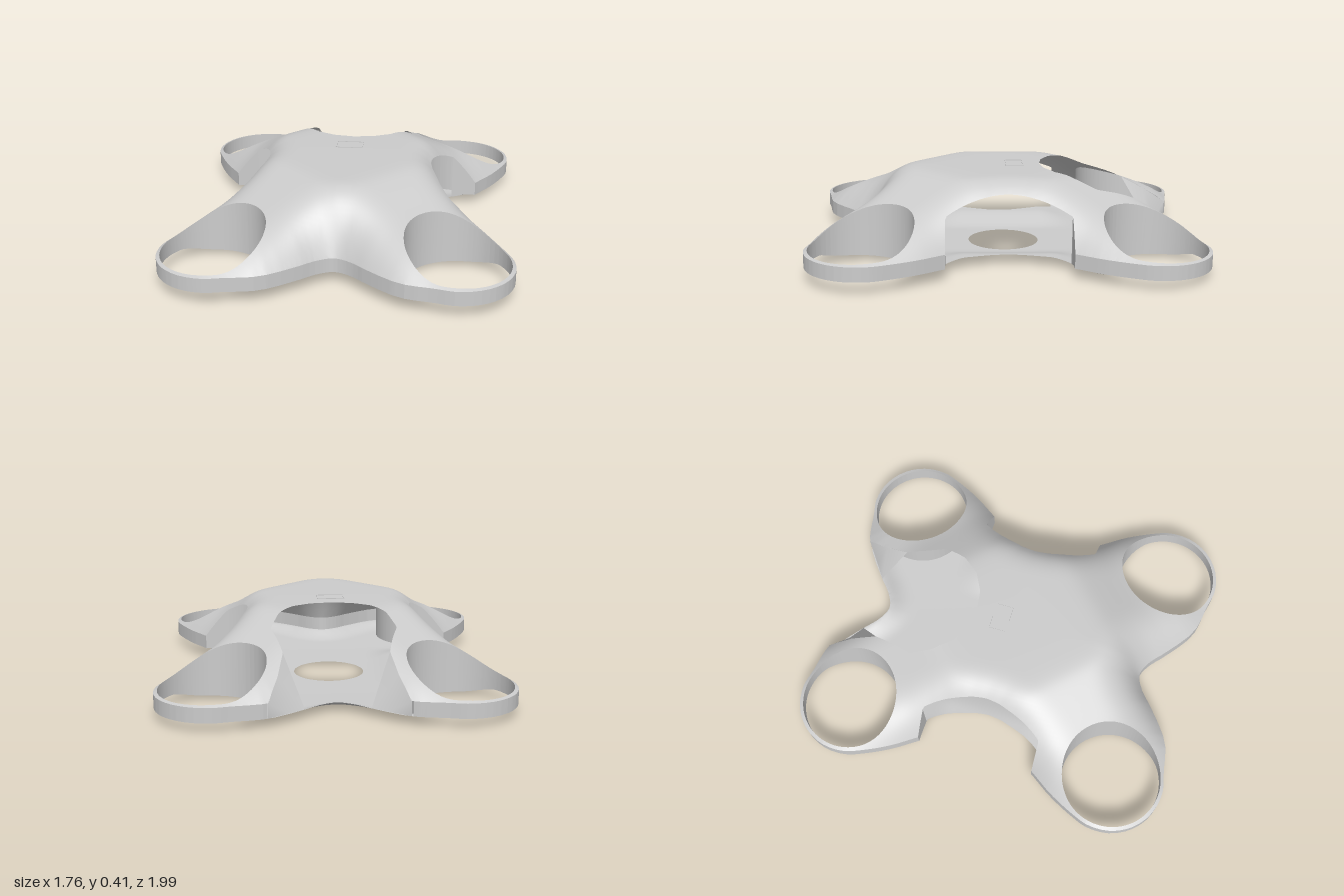
import * as THREE from 'three';
import { mergeVertices } from 'three/addons/utils/BufferGeometryUtils.js';

const RING = { x: 0.566, z: 0.69, inner: 0.248, outer: 0.266 };

// Mirror a half outline across one axis
const mirror = (pts, sx, sz, closeEnd) =>
  pts.concat(pts.slice(closeEnd ? 1 : 0, -1).reverse().map(([x, z]) => [x * sx, z * sz]));

// Quarter outline: flank, ring tip, front notch
function bodyOutline() {
  const q = [[0.53, 0], [0.565, 0.15], [0.65, 0.30], [0.73, 0.42], [0.795, 0.55]];
  for (const deg of [-10, 15, 40, 65, 90, 112]) {
    const a = deg * Math.PI / 180;
    q.push([RING.x + RING.outer * Math.cos(a), RING.z + RING.outer * Math.sin(a)]);
  }
  q.push([0.315, 0.905], [0.155, 0.79], [0.08, 0.725], [0, 0.69]);
  const full = mirror(mirror(q, -1, 1, false), 1, -1, true);
  const curve = new THREE.CatmullRomCurve3(full.map(([x, z]) => new THREE.Vector3(x, 0, z)), true);
  return curve.getPoints(160).slice(0, -1).map(p => [p.x, p.z]);
}

// Signed distance to a polygon, positive inside
function polygonDistance(poly, x, z) {
  let best = Infinity, inside = false;
  for (let i = 0, j = poly.length - 1; i < poly.length; j = i++) {
    const [ax, az] = poly[i], [bx, bz] = poly[j];
    const ex = bx - ax, ez = bz - az, px = x - ax, pz = z - az;
    const t = Math.min(1, Math.max(0, (px * ex + pz * ez) / (ex * ex + ez * ez)));
    best = Math.min(best, (px - ex * t) ** 2 + (pz - ez * t) ** 2);
    if ((az > z) !== (bz > z) && x < ex * (z - az) / ez + ax) inside = !inside;
  }
  return Math.sqrt(best) * (inside ? 1 : -1);
}

const OUTLINE = bodyOutline();
const REAR_CUT = mirror([[0, -1.3], [0.315, -1.3], [0.315, -0.91], [0.27, -0.78], [0.245, -0.65],
  [0.27, -0.54], [0.30, -0.44], [0.26, -0.33], [0.19, -0.243], [0.1, -0.195], [0, -0.18]], -1, 1, true);

const edge = (x, z) => polygonDistance(OUTLINE, x, z);

// Smooth version of max(0, t)
const ramp = t => (t + Math.sqrt(t * t + 0.006)) / 2;

// Upper skin: a flat crown, steep shoulders, gently sloping rotor rings, rounded rim
function topY(x, z) {
  const rim = 0.125, d = Math.max(0, edge(x, z)), s = Math.abs(x) + Math.abs(z);
  const cap = 0.411 - 0.36 * ramp(s - 0.56) + 0.17 * ramp(s - 0.92);
  const round = 1 - (1 - Math.min(1, d / 0.3)) ** 3.3;
  return rim + (Math.max(cap, rim + 0.01) - rim) * round;
}

// Shallow dished underside, turned up at the rim and along the flanks
function bottomY(x, z) {
  const d = Math.max(0, edge(x, z)), smooth = THREE.MathUtils.smoothstep;
  const flank = 0.043 * smooth(Math.abs(x), 0.2, 0.42) * (1 - smooth(Math.abs(z), 0.2, 0.42));
  const lip = 0.045 * (1 - Math.min(1, d / 0.12)) ** 2;
  return Math.min(0.055, 0.003 + 0.03 * (x * x + z * z) + flank + lip);
}

// Fields are positive where material is kept
const rings = (x, z) => Math.hypot(Math.abs(x) - RING.x, Math.abs(z) - RING.z) - RING.inner;
const sideTunnel = (x, z) => Math.abs(z) > 0.36 || Math.abs(x) < 0.2 ? 0.06
  : Math.max(topY(x, z) - (0.35 - 0.9 * z * z), Math.abs(z) - 0.3);
const rearCut = (x, z) => -polygonDistance(REAR_CUT, x, z);
const bellyHole = (x, z) => Math.hypot(x, z) - 0.18;

// Cut a polygon by a field, finding each crossing by bisection
function clip(poly, field) {
  const values = poly.map(p => field(...p)), out = [];
  poly.forEach((p, i) => {
    const k = (i + 1) % poly.length, q = poly[k];
    if (values[i] >= 0) out.push(p);
    if ((values[i] >= 0) !== (values[k] >= 0)) {
      let [a, b] = values[i] >= 0 ? [p, q] : [q, p];
      for (let n = 0; n < 22; n++) {
        const m = [(a[0] + b[0]) / 2, (a[1] + b[1]) / 2];
        if (field(...m) >= 0) a = m; else b = m;
      }
      out.push(a);
    }
  });
  return out;
}

// Triangulated grid trimmed by the fields
function trimmedPolygons(fields) {
  const step = 0.02, result = [];
  for (let x = -0.9037; x < 0.9; x += step) {
    for (let z = -1.0071; z < 1; z += step) {
      const a = [x, z], b = [x, z + step], c = [x + step, z + step], d = [x + step, z];
      if (edge(x, z) < -0.06) continue;
      for (let poly of [[a, b, c], [a, c, d]]) {
        for (const f of fields) if (poly.length > 2) poly = clip(poly, f);
        if (poly.length > 2) result.push(poly);
      }
    }
  }
  return result;
}

function smoothGeometry(positions) {
  let g = new THREE.BufferGeometry();
  g.setAttribute('position', new THREE.Float32BufferAttribute(positions, 3));
  g = mergeVertices(g, 1e-4);
  g.computeVertexNormals();
  return g;
}

function skin(polys, height, down) {
  const pos = [];
  for (const poly of polys) {
    const v = poly.map(([x, z]) => [x, height(x, z), z]);
    for (let i = 1; i + 1 < v.length; i++) {
      pos.push(...v[0], ...v[down ? i + 1 : i], ...v[down ? i : i + 1]);
    }
  }
  return smoothGeometry(pos);
}

// Upright walls along the trimmed edges of one field
function walls(polys, field, allowed) {
  const pos = [];
  const onEdge = p => Math.abs(field(...p)) < 2e-5 && allowed(...p);
  for (const poly of polys) {
    const flags = poly.map(onEdge);
    poly.forEach(([x, z], i) => {
      const k = (i + 1) % poly.length, [u, w] = poly[k];
      if (!flags[i] || !flags[k]) return;
      const a = [x, bottomY(x, z), z], b = [u, bottomY(u, w), w];
      const c = [u, topY(u, w), w], d = [x, topY(x, z), z];
      pos.push(...a, ...b, ...c, ...a, ...c, ...d);
    });
  }
  return smoothGeometry(pos);
}

export function createModel() {
  const grey = new THREE.MeshStandardMaterial({ color: 0xcccccc, side: THREE.DoubleSide });
  grey.name = 'light grey';
  const model = new THREE.Group();
  model.name = 'quadcopterShell';
  const add = (name, geometry) => {
    const mesh = new THREE.Mesh(geometry, grey);
    mesh.name = name;
    model.add(mesh);
    return mesh;
  };

  // Skins
  const upper = trimmedPolygons([edge, rings, sideTunnel, rearCut]);
  const lower = trimmedPolygons([edge, rings, sideTunnel, bellyHole]);
  add('upperSkin', skin(upper, topY, false));
  add('lowerSkin', skin(lower, bottomY, true));

  // Rotor ducts, outer rim and the arm ends beside the tunnel
  add('rotorDucts', walls(lower, rings, () => true));
  add('outerRim', walls(lower, edge, (x, z) => z > 0 || Math.abs(x) > 0.31));
  add('armEnds', walls(lower, sideTunnel, (x, z) => Math.abs(Math.abs(z) - 0.3) < 0.003));

  // Sloping cheeks on both sides of the rear opening
  for (const s of [1, -1]) {
    const low = [[0.15, -0.785], [0.225, -0.838], [0.315, -0.905]];
    const high = [[0.245, -0.65], [0.27, -0.78], [0.315, -0.905]];
    const pos = [];
    for (let i = 0; i < 2; i++) {
      const at = (list, k, f) => [s * list[k][0], f(...list[k]), list[k][1]];
      const a = at(low, i, bottomY), b = at(low, i + 1, bottomY);
      const c = at(high, i + 1, topY), d = at(high, i, topY);
      pos.push(...a, ...b, ...c, ...a, ...c, ...d);
    }
    add(s > 0 ? 'leftRearCheek' : 'rightRearCheek', smoothGeometry(pos));
  }

  // Thin rectangular frame on the roof
  for (const s of [1, -1]) {
    const y = topY(0, -0.05) + 0.001;
    add('roofFrameLong', new THREE.BoxGeometry(0.136, 0.004, 0.005)).position.set(-0.006, y, -0.052 + s * 0.043);
    add('roofFrameShort', new THREE.BoxGeometry(0.005, 0.004, 0.09)).position.set(-0.006 + s * 0.066, y, -0.052);
  }

  // Slight turn and nose-up lean
  model.rotation.set(-0.012, 0.07, 0, 'YXZ');
  const root = new THREE.Group();
  root.name = 'shell';
  root.add(model);
  return root;
}
